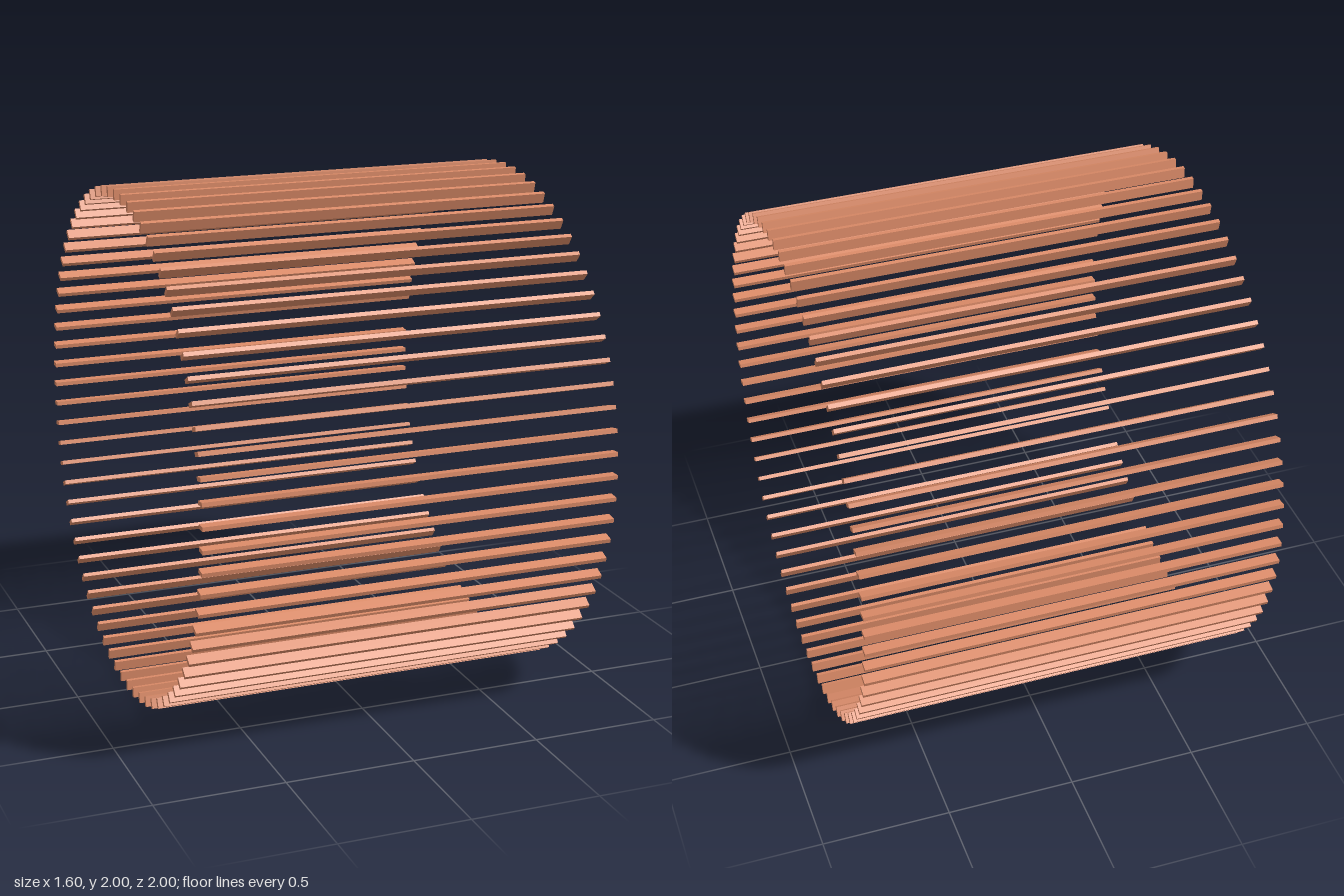
import * as THREE from 'three';

export function createModel() {
  const model = new THREE.Group();
  model.name = 'slattedDrum';

  const copper = new THREE.MeshStandardMaterial({ color: 0xda8a67 });
  copper.name = 'copper';

  const count = 72, length = 1.6, depth = 0.04, thickness = 0.016, outerRadius = 1;

  // One slat lies along x, with its deep side pointing at the drum axis
  const slatGeometry = new THREE.BoxGeometry(length, depth, thickness);
  slatGeometry.translate(0, outerRadius - depth / 2, 0);

  // Ring of slats around the horizontal axis
  for (let i = 0; i < count; i++) {
    const slat = new THREE.Mesh(slatGeometry, copper);
    slat.name = `slat${i + 1}`;
    slat.position.y = outerRadius;
    slat.rotation.x = (i / count) * Math.PI * 2;
    model.add(slat);
  }
  return model;
}
